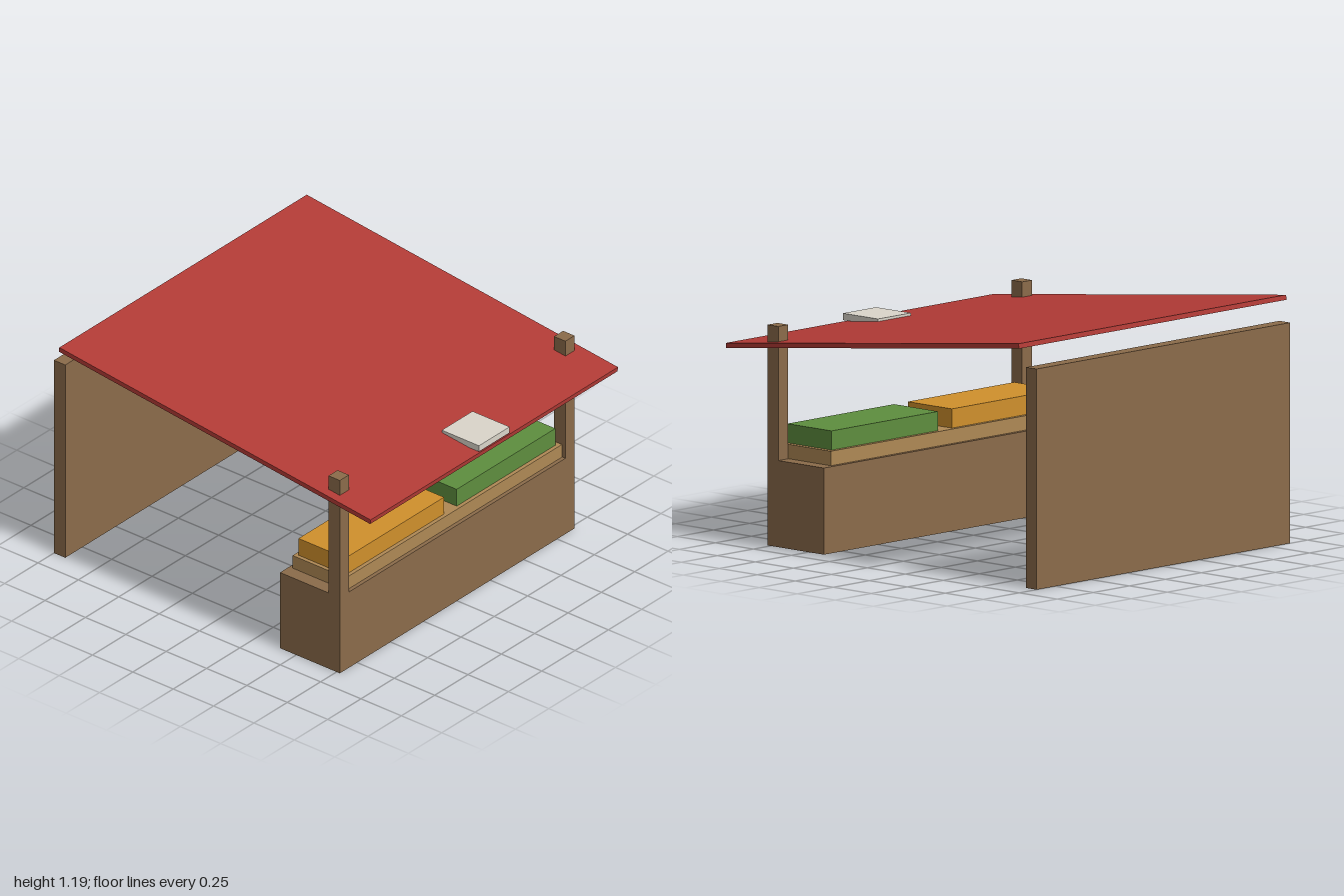
import * as THREE from 'three';

const mat = (name, color) => {
  const m = new THREE.MeshStandardMaterial({ color });
  m.name = name;
  return m;
};

export function createModel() {
  const wood = mat('brown wood', 0x8b6b4a);
  const paleWood = mat('pale wood', 0xaf8955);
  const red = mat('red awning', 0xb33b36);
  const orange = mat('orange goods', 0xd0902c);
  const green = mat('green goods', 0x5e8e3e);
  const pale = mat('pale plate', 0xdad5ca);

  const group = new THREE.Group();
  group.name = 'marketStall';

  // Box given by its extents along each axis
  const box = (name, material, [x0, x1], [y0, y1], [z0, z1]) => {
    const mesh = new THREE.Mesh(new THREE.BoxGeometry(x1 - x0, y1 - y0, z1 - z0), material);
    mesh.position.set((x0 + x1) / 2, (y0 + y1) / 2, (z0 + z1) / 2);
    mesh.name = name;
    group.add(mesh);
    return mesh;
  };

  // Counter, display tray and back wall
  box('counter', wood, [-0.88, 0.88], [0, 0.42], [0.4, 0.77]);
  box('tray', paleWood, [-0.81, 0.81], [0.42, 0.49], [0.42, 0.75]);
  box('backWall', wood, [-0.88, 0.88], [0, 1.07], [-1, -0.93]);

  // Goods on the tray
  box('rightGoods', orange, [-0.79, -0.05], [0.49, 0.583], [0.44, 0.73]);
  box('leftGoods', green, [0.045, 0.785], [0.49, 0.583], [0.44, 0.73]);

  // Front posts, poking through the awning
  box('rightPost', wood, [-0.88, -0.812], [0.42, 1.07], [0.7, 0.77]);
  box('leftPost', wood, [0.812, 0.88], [0.42, 1.07], [0.7, 0.77]);

  // Awning sloping down to the front
  const slope = Math.atan2(0.23, 1.927);
  const awning = new THREE.Mesh(new THREE.BoxGeometry(1.856, 0.024, 1.941), red);
  awning.name = 'awning';
  awning.position.set(0, 1.063, 0.035);
  awning.rotation.x = slope;
  group.add(awning);

  // Level plate on the awning's front edge
  box('plate', pale, [-0.115, 0.115], [0.967, 1.0], [0.77, 1.0]);

  return group;
}
